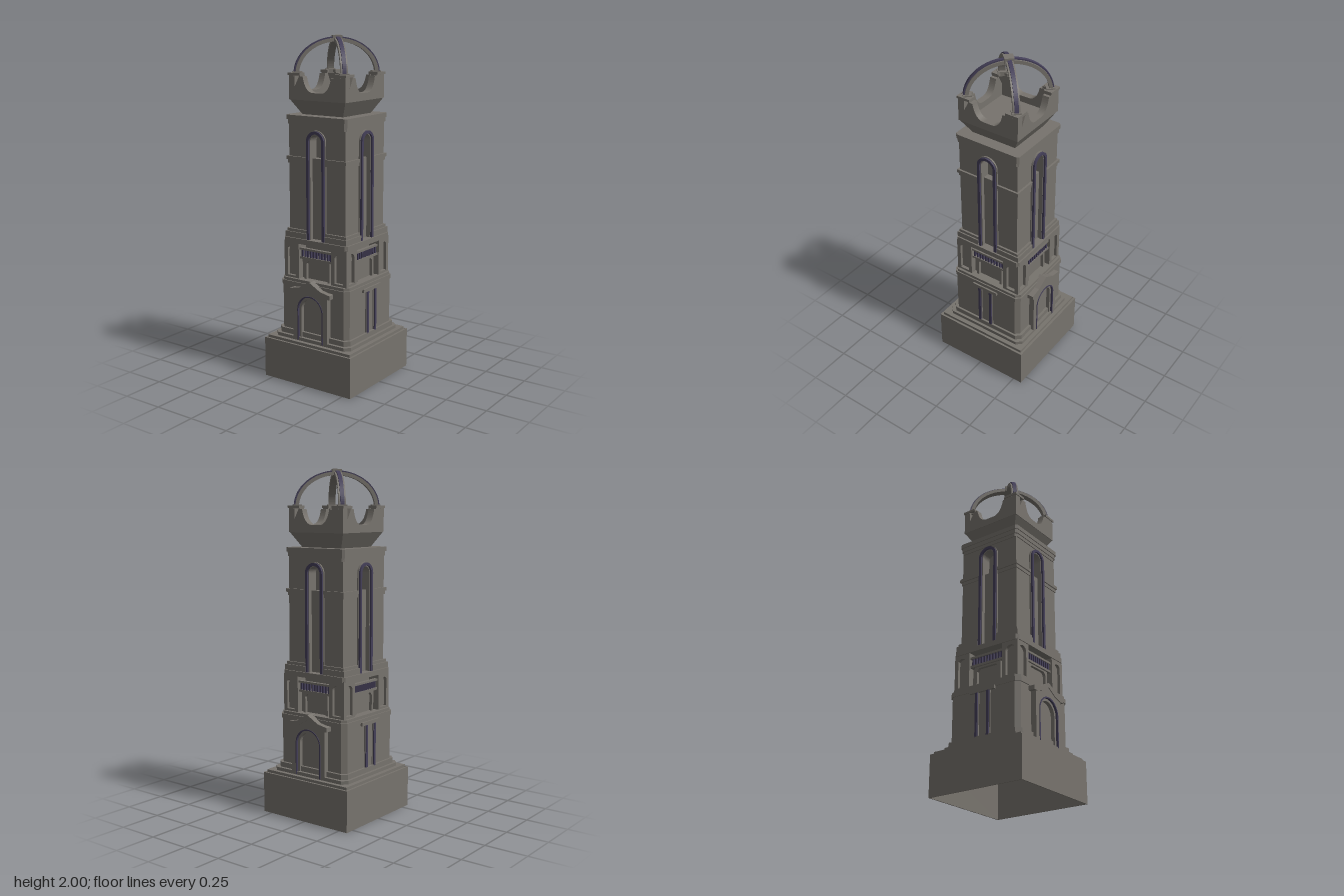
import * as THREE from 'three';

const stone = new THREE.MeshStandardMaterial({ color: 0x77736d });
stone.name = 'stone';
const violet = new THREE.MeshStandardMaterial({ color: 0x443f58 });
violet.name = 'violet trim';

function add(parent, name, geometry, material = stone) {
  const mesh = new THREE.Mesh(geometry, material);
  mesh.name = name;
  parent.add(mesh);
  return mesh;
}

// Box given by its limits
function box(parent, name, x0, x1, y0, y1, z0, z1, material) {
  const g = new THREE.BoxGeometry(x1 - x0, y1 - y0, z1 - z0);
  g.translate((x0 + x1) / 2, (y0 + y1) / 2, (z0 + z1) / 2);
  return add(parent, name, g, material);
}

// Box and its mirror image across x = 0
function boxPair(parent, name, x0, x1, ...rest) {
  box(parent, name, x0, x1, ...rest);
  box(parent, name, -x1, -x0, ...rest);
}

const polygon = (pts) => new THREE.Shape(pts.map(([x, y]) => new THREE.Vector2(x, y)));

// Upright plate: a shape in x, y pushed from z0 to z1
function plate(parent, name, shape, z0, z1, material) {
  const g = new THREE.ExtrudeGeometry(shape, { depth: z1 - z0, bevelEnabled: false, curveSegments: 14 });
  g.translate(0, 0, z0);
  return add(parent, name, g, material);
}

// Horizontal slab with cut corners
function slab(parent, name, w, d, y0, y1, c) {
  const s = polygon([[w, -d + c], [w, d - c], [w - c, d], [c - w, d], [-w, d - c], [-w, c - d], [c - w, -d], [w - c, -d]]);
  const g = new THREE.ExtrudeGeometry(s, { depth: y1 - y0, bevelEnabled: false });
  g.rotateX(-Math.PI / 2).translate(0, y0, 0);
  return add(parent, name, g);
}

// Arched opening outline around x = cx
function arch(path, cx, r, y0, top) {
  path.moveTo(cx - r, y0);
  path.lineTo(cx + r, y0);
  path.lineTo(cx + r, top - r);
  path.absarc(cx, top - r, r, 0, Math.PI, false);
  path.lineTo(cx - r, y0);
  return path;
}

// Arched band, open at the foot
function archBand(rOut, rIn, y0, top) {
  const s = new THREE.Shape();
  const cy = top - rOut;
  s.moveTo(rOut, y0);
  s.lineTo(rOut, cy);
  s.absarc(0, cy, rOut, 0, Math.PI, false);
  s.lineTo(-rOut, y0);
  s.lineTo(-rIn, y0);
  s.lineTo(-rIn, cy);
  s.absarc(0, cy, rIn, Math.PI, 0, true);
  s.lineTo(rIn, y0);
  s.closePath();
  return s;
}

// Quarter-ellipse rib section from springing to crown
function ribShape(a, b, t) {
  const s = new THREE.Shape();
  s.moveTo(a, 0);
  s.absellipse(0, 0, a, b, 0, Math.PI / 2, false, 0);
  s.lineTo(0, b - t);
  s.absellipse(0, 0, a - t, b - t, Math.PI / 2, 0, true, 0);
  s.closePath();
  return s;
}

function lowerBay(side, isPortal) {
  if (isPortal) {
    // Gabled portal with an arched doorway
    const front = polygon([[-0.12, 0.255], [0.12, 0.255], [0.12, 0.54], [0.07, 0.565], [0, 0.605], [-0.07, 0.565], [-0.12, 0.54]]);
    front.holes.push(arch(new THREE.Path(), 0, 0.085, 0.2555, 0.53));
    plate(side, 'portal', front, 0.225, 0.268);
    plate(side, 'portalGable', polygon([[-0.14, 0.54], [-0.115, 0.54], [-0.065, 0.553], [0, 0.592], [0.065, 0.553], [0.115, 0.54],
      [0.14, 0.54], [0.14, 0.565], [0.075, 0.578], [0, 0.62], [-0.075, 0.578], [-0.14, 0.565]]), 0.225, 0.273);
    plate(side, 'doorFrame', archBand(0.085, 0.069, 0.26, 0.53), 0.23, 0.258);
    plate(side, 'doorTrim', archBand(0.09, 0.083, 0.26, 0.535), 0.23, 0.271, violet);
  } else {
    // Paired pilasters under a small hood
    boxPair(side, 'sidePilaster', 0.026, 0.052, 0.3, 0.56, 0.23, 0.243);
    boxPair(side, 'sidePilasterTrim', 0.031, 0.047, 0.3, 0.555, 0.23, 0.25, violet);
    box(side, 'sideHood', -0.085, 0.085, 0.555, 0.575, 0.23, 0.251);
  }
}

function middleBay(side) {
  // Corner piers with arched niches
  for (const s of [-1, 1]) {
    const pier = polygon([[s * 0.167 - 0.052, 0.605], [s * 0.167 + 0.052, 0.605], [s * 0.167 + 0.052, 0.83], [s * 0.167 - 0.052, 0.83]]);
    pier.holes.push(arch(new THREE.Path(), s * 0.17, 0.032, 0.625, 0.8));
    plate(side, 'pierFace', pier, 0.195, 0.219);
  }
  boxPair(side, 'pierCore', 0.115, 0.2, 0.6, 0.83, 0.115, 0.2);
  // Recessed loggia with doorway and balustrade
  box(side, 'loggiaBlock', -0.115, 0.115, 0.6, 0.735, 0.14, 0.182);
  plate(side, 'loggiaDoorFrame', polygon([[-0.09, 0.61], [-0.075, 0.61], [-0.075, 0.705], [-0.06, 0.722], [0.06, 0.722],
    [0.075, 0.705], [0.075, 0.61], [0.09, 0.61], [0.09, 0.738], [-0.09, 0.738]]), 0.18, 0.2);
  box(side, 'balconyFloor', -0.115, 0.115, 0.732, 0.745, 0.15, 0.21);
  box(side, 'balconyRail', -0.115, 0.115, 0.785, 0.797, 0.19, 0.21);
  for (let i = 0; i < 11; i++) {
    const x = -0.1 + i * 0.02;
    box(side, 'baluster', x - 0.005, x + 0.005, 0.744, 0.786, 0.194, 0.206, violet);
  }
}

function shaftBay(side) {
  // Wall face cut by a tall arched slot
  const wall = new THREE.Shape();
  wall.moveTo(0.195, 0.85);
  wall.lineTo(0.195, 1.5);
  wall.lineTo(-0.195, 1.5);
  wall.lineTo(-0.195, 0.85);
  wall.lineTo(-0.042, 0.85);
  wall.lineTo(-0.042, 1.415);
  wall.absarc(0, 1.415, 0.042, Math.PI, 0, true);
  wall.lineTo(0.042, 0.85);
  wall.closePath();
  plate(side, 'shaftWall', wall, 0.13, 0.195);
  plate(side, 'archSurround', archBand(0.065, 0.04, 0.85, 1.482), 0.185, 0.204);
  plate(side, 'archTrim', archBand(0.061, 0.045, 0.85, 1.478), 0.19, 0.215, violet);
  // Plinth and string courses broken by the arch
  boxPair(side, 'shaftPlinth', 0.065, 0.215, 0.85, 0.885, 0.18, 0.215);
  boxPair(side, 'shaftPlinthCap', 0.065, 0.207, 0.885, 0.902, 0.18, 0.207);
  boxPair(side, 'lowerString', 0.065, 0.2, 1.285, 1.305, 0.18, 0.2);
  boxPair(side, 'upperString', 0.065, 0.207, 1.305, 1.325, 0.18, 0.207);
}

function crownSide(side) {
  // Parapet wall with a scooped opening
  const wall = new THREE.Shape();
  wall.moveTo(-0.193, 1.645);
  wall.lineTo(0.193, 1.645);
  wall.lineTo(0.193, 1.79);
  wall.lineTo(0.115, 1.79);
  wall.lineTo(0.115, 1.775);
  wall.lineTo(0.097, 1.775);
  wall.bezierCurveTo(0.085, 1.715, 0.06, 1.69, 0.03, 1.688);
  wall.lineTo(-0.03, 1.688);
  wall.bezierCurveTo(-0.06, 1.69, -0.085, 1.715, -0.097, 1.775);
  wall.lineTo(-0.115, 1.775);
  wall.lineTo(-0.115, 1.79);
  wall.closePath();
  plate(side, 'crownWall', wall, 0.153, 0.193);
  boxPair(side, 'crownCap', 0.115, 0.198, 1.78, 1.794, 0.15, 0.198);
}

function rib(parent, angle) {
  const g = new THREE.Group();
  g.name = 'crownRib';
  g.position.y = 1.785;
  g.rotation.y = angle;
  plate(g, 'ribBody', ribShape(0.238, 0.2, 0.02), -0.02, 0.02);
  plate(g, 'ribStrip', ribShape(0.246, 0.207, 0.014), -0.011, 0.011, violet);
  box(g, 'ribFoot', 0.2, 0.25, -0.01, 0.016, -0.026, 0.026);
  parent.add(g);
}

export function createModel() {
  const model = new THREE.Group();
  model.name = 'tower';

  // Hollow pedestal, open underneath
  const ring = polygon([[-0.306, -0.306], [0.306, -0.306], [0.306, 0.306], [-0.306, 0.306]]);
  ring.holes.push(new THREE.Path([[-0.3, -0.3], [-0.3, 0.3], [0.3, 0.3], [0.3, -0.3]].map(([x, y]) => new THREE.Vector2(x, y))));
  const walls = new THREE.ExtrudeGeometry(ring, { depth: 0.24, bevelEnabled: false });
  add(model, 'pedestalWalls', walls.rotateX(-Math.PI / 2));
  box(model, 'pedestalTop', -0.303, 0.303, 0.23, 0.239, -0.303, 0.303);

  // Steps, lower stage and its cornice
  box(model, 'lowerStep', -0.292, 0.292, 0.239, 0.255, -0.292, 0.292);
  slab(model, 'middleStep', 0.266, 0.268, 0.255, 0.275, 0.03);
  slab(model, 'upperStep', 0.25, 0.25, 0.275, 0.305, 0.028);
  slab(model, 'lowerStage', 0.237, 0.235, 0.305, 0.57, 0.025);
  slab(model, 'lowerCornice', 0.241, 0.241, 0.57, 0.595, 0.025);
  slab(model, 'lowerCorniceCap', 0.234, 0.234, 0.595, 0.612, 0.025);

  // Middle stage, shaft cores and upper cornice
  box(model, 'middleCore', -0.15, 0.15, 0.6, 0.83, -0.15, 0.15);
  slab(model, 'middleCornice', 0.224, 0.224, 0.822, 0.852, 0.015);
  box(model, 'shaftCore', -0.178, 0.178, 0.85, 1.32, -0.178, 0.178);
  box(model, 'belfryCore', -0.14, 0.14, 1.32, 1.5, -0.14, 0.14);
  slab(model, 'corniceBed', 0.2, 0.2, 1.49, 1.51, 0.012);
  slab(model, 'cornice', 0.205, 0.205, 1.51, 1.535, 0.012);
  slab(model, 'corniceCap', 0.21, 0.21, 1.535, 1.56, 0.012);

  // Flared bowl below the crown
  const flare = new THREE.CylinderGeometry(0.193 * Math.SQRT2, 0.14 * Math.SQRT2, 0.09, 4).toNonIndexed();
  flare.rotateY(Math.PI / 4).translate(0, 1.605, 0);
  flare.computeVertexNormals();
  add(model, 'crownBowl', flare);

  for (let k = 0; k < 4; k++) {
    const side = new THREE.Group();
    side.name = ['frontSide', 'leftSide', 'backSide', 'rightSide'][k];
    side.rotation.y = k * Math.PI / 2;
    lowerBay(side, k % 2 === 0);
    middleBay(side);
    shaftBay(side);
    crownSide(side);
    model.add(side);
    rib(model, Math.PI / 4 + k * Math.PI / 2);
  }

  // Diamond boss where the ribs meet
  const boss = box(model, 'ribBoss', -0.027, 0.027, 1.965, 2, -0.027, 0.027);
  boss.rotation.y = Math.PI / 4;
  return model;
}
